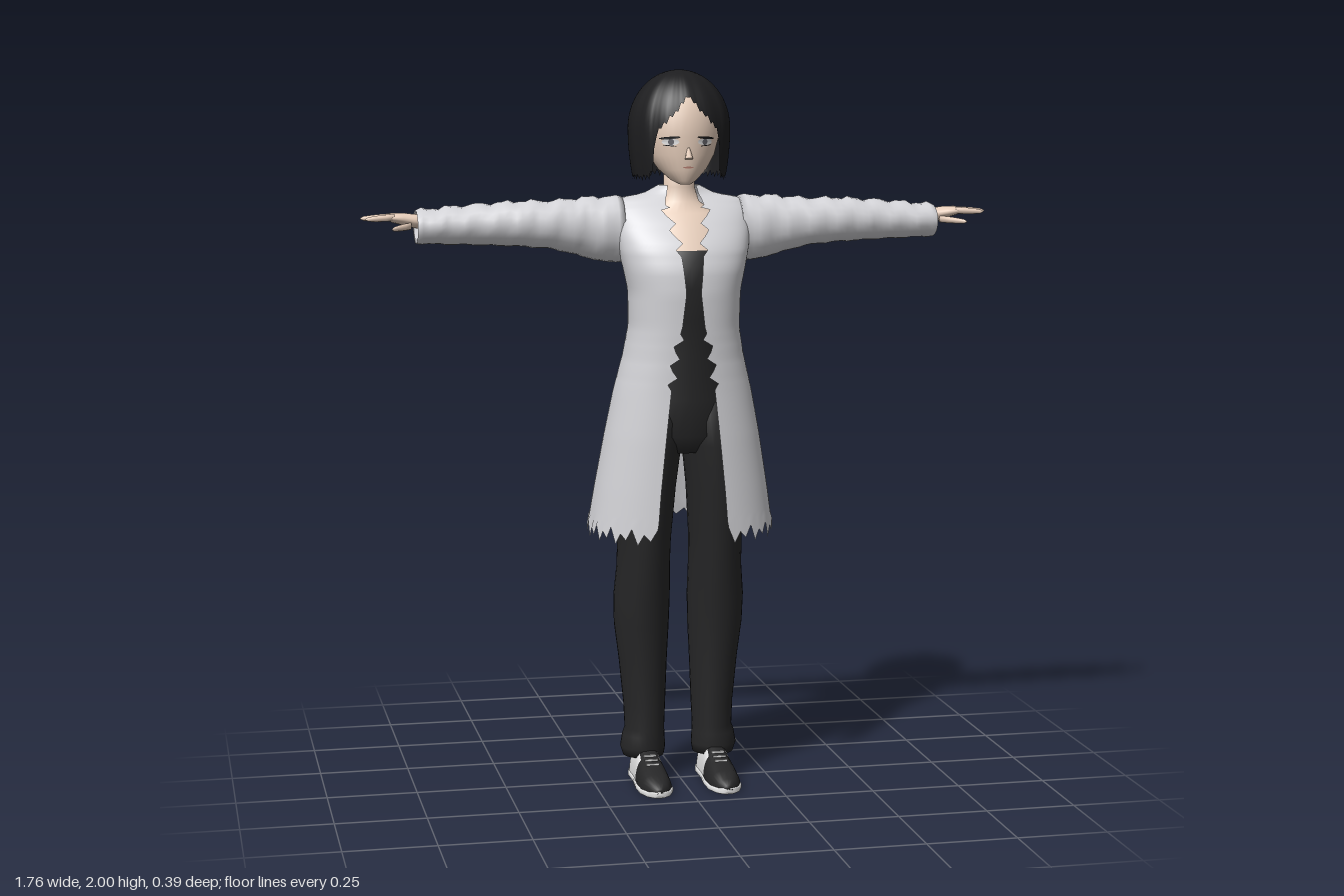
import * as THREE from 'three';
import { mergeVertices } from 'three/addons/utils/BufferGeometryUtils.js';

const colour = (name, color, open) => {
  const m = new THREE.MeshStandardMaterial({ color, side: open ? THREE.DoubleSide : THREE.FrontSide });
  m.name = name;
  return m;
};
const pw = (v, e) => Math.sign(v) * Math.abs(v) ** e;
const TAU = Math.PI * 2;

// Linear lookup in a table whose first column is the key
function sample(table, key) {
  let i = 0;
  while (i < table.length - 2 && table[i + 1][0] < key) i++;
  const a = table[i], b = table[i + 1];
  const t = THREE.MathUtils.clamp((key - a[0]) / (b[0] - a[0]), 0, 1);
  return a.map((v, k) => v + (b[k] - v) * t);
}

// Skin a grid of rings; paint(i, j) picks a material slot for each quad
function loft(rings, { caps = false, paint } = {}) {
  if (caps) {
    const centre = (r) => {
      const c = [0, 1, 2].map((k) => r.slice(1).reduce((s, p) => s + p[k], 0) / (r.length - 1));
      return r.map(() => c);
    };
    rings = [centre(rings[0]), ...rings, centre(rings[rings.length - 1])];
  }
  const w = rings[0].length, slots = [[], []];
  for (let i = 0; i < rings.length - 1; i++) {
    for (let j = 0; j < w - 1; j++) {
      const a = i * w + j, d = a + w;
      slots[paint ? paint(i, j) : 0].push(a, a + 1, d + 1, a, d + 1, d);
    }
  }
  let g = new THREE.BufferGeometry();
  g.setAttribute('position', new THREE.Float32BufferAttribute(rings.flat(2), 3));
  g.setIndex([...slots[0], ...slots[1]]);
  if (paint) {
    g.addGroup(0, slots[0].length, 0);
    g.addGroup(slots[0].length, slots[1].length, 1);
  }
  g = mergeVertices(g, 1e-5);
  g.computeVertexNormals();
  return g;
}

const around = (n, f, from = 0, to = TAU) =>
  Array.from({ length: n + 1 }, (_, j) => f(from + ((to - from) * j) / n, j));
// Upright ring: [y, half width, front z, back z], centre x
const ringY = ([y, rx, zf, zb], cx = 0, n = 28, e = 1) => around(n, (p) =>
  [cx + rx * pw(Math.sin(p), e), y, (zf + zb) / 2 + ((zf - zb) / 2) * pw(Math.cos(p), e)]);
// Ring facing along x: [x, centre y, centre z, ry, rz]
const ringX = ([x, cy, cz, ry, rz], n = 20) => around(n, (p) =>
  [x, cy + ry * Math.cos(p), cz + rz * Math.sin(p)]);

function mirrored(geo) {
  const g = geo.clone().scale(-1, 1, 1), ix = g.index.array;
  for (let k = 0; k < ix.length; k += 3) [ix[k], ix[k + 1]] = [ix[k + 1], ix[k]];
  return g;
}

export function createModel() {
  const model = new THREE.Group();
  model.name = 'figure';
  const skin = colour('skin', 0xe9d0bd), hair = colour('hair', 0x1d1d1f, true);
  const coat = colour('coat cloth', 0xd3d3d7, true), cloth = colour('black cloth', 0x262627);
  const white = colour('white', 0xe6e6e6), lip = colour('lip', 0xb98274), grey = colour('iris', 0x6a6a70);

  const add = (name, geo, mat) => {
    const m = new THREE.Mesh(geo, mat);
    m.name = name;
    model.add(m);
  };
  const pair = (name, geo, mat) => {
    add(name + 'Left', geo, mat);
    add(name + 'Right', mirrored(geo), mat);
  };

  // Torso: black top below, bare chest and neck above
  const body = [[0.95, 0.08, 0.1, -0.06], [1.0, 0.15, 0.135, -0.095], [1.1, 0.14, 0.14, -0.09],
    [1.22, 0.12, 0.14, -0.07], [1.32, 0.122, 0.15, -0.06], [1.41, 0.132, 0.165, -0.055],
    [1.47, 0.138, 0.158, -0.055], [1.51, 0.14, 0.138, -0.055], [1.512, 0.139, 0.132, -0.055],
    [1.57, 0.13, 0.1, -0.055], [1.61, 0.1, 0.065, -0.055], [1.64, 0.055, 0.036, -0.05],
    [1.68, 0.043, 0.03, -0.05], [1.74, 0.042, 0.03, -0.05]];
  add('torso', loft(body.map((r) => ringY(r)), { caps: true, paint: (i) => (i > 8 ? 1 : 0) }), [cloth, skin]);

  // Trousers: [y, half width, front z, back z, centre x]
  const leg = [[0.07, 0.058, 0.035, -0.085, 0.101], [0.095, 0.064, 0.042, -0.09, 0.103],
    [0.13, 0.06, 0.04, -0.088, 0.101], [0.15, 0.056, 0.042, -0.09, 0.098], [0.22, 0.059, 0.043, -0.095, 0.098],
    [0.35, 0.068, 0.052, -0.105, 0.102], [0.45, 0.077, 0.064, -0.115, 0.106], [0.53, 0.079, 0.076, -0.117, 0.106],
    [0.62, 0.074, 0.09, -0.113, 0.103], [0.7, 0.074, 0.103, -0.108, 0.102], [0.85, 0.079, 0.125, -0.1, 0.096],
    [0.97, 0.083, 0.138, -0.095, 0.086], [1.04, 0.076, 0.138, -0.09, 0.075], [1.1, 0.05, 0.12, -0.07, 0.07]];
  pair('trouserLeg', loft(leg.map((r) => ringY(r, r[4])), { caps: true }), cloth);

  // Shoes: [z, half width, top]
  const shoe = [[-0.078, 0.02, 0.055], [-0.07, 0.034, 0.08], [-0.04, 0.041, 0.095], [0, 0.04, 0.105],
    [0.03, 0.04, 0.1], [0.06, 0.043, 0.083], [0.1, 0.046, 0.068], [0.15, 0.044, 0.055],
    [0.185, 0.03, 0.04], [0.198, 0.012, 0.026]];
  const upper = shoe.map(([z, rx, top]) => around(24, (p) =>
    [0.098 + rx * pw(Math.cos(p), 0.7), 0.012 + (top - 0.012) * Math.max(0, Math.sin(p)), z]));
  const sidePatch = (i, j) => (i >= 3 && i <= 5 && (j < 4 || (j >= 8 && j < 12)) ? 1 : 0);
  pair('shoe', loft(upper, { caps: true, paint: sidePatch }), [cloth, white]);
  const sole = shoe.map(([z, rx]) => around(24, (p) =>
    [0.098 + (rx + 0.004) * pw(Math.cos(p), 0.4), 0.009 + 0.009 * pw(Math.sin(p), 0.4), z]));
  pair('sole', loft(sole, { caps: true }), white);
  for (const [z, y] of [[0.06, 0.084], [0.08, 0.077], [0.1, 0.07]]) {
    pair('lace', new THREE.BoxGeometry(0.036, 0.005, 0.005).translate(0.098, y, z), white);
  }

  // Open coat: [y, half width, front z, back z, half opening]
  const cut = [[0.72, 0.262, 0.19, -0.195, 0.1], [0.85, 0.242, 0.188, -0.168, 0.09], [1.0, 0.216, 0.186, -0.138, 0.075],
    [1.12, 0.192, 0.183, -0.118, 0.062], [1.22, 0.167, 0.183, -0.1, 0.05], [1.3, 0.153, 0.185, -0.085, 0.032],
    [1.4, 0.155, 0.188, -0.074, 0.02], [1.46, 0.168, 0.183, -0.07, 0.026], [1.52, 0.182, 0.162, -0.07, 0.032],
    [1.58, 0.19, 0.118, -0.07, 0.045], [1.62, 0.19, 0.082, -0.07, 0.056], [1.65, 0.172, 0.05, -0.066, 0.05],
    [1.662, 0.1, 0.042, -0.064, 0.044], [1.685, 0.056, 0.036, -0.062, 0.04]];
  const teeth = [0.1, 1, 0.4, 0.75], coatRings = [];
  const e = 0.85, cols = 72;
  for (let i = 0; i <= 60; i++) {
    const y = i === 0 ? 0.73 : i < 50 ? 0.77 + (0.85 * (i - 1)) / 49 : 1.62 + (0.065 * (i - 50)) / 10;
    const [, rx, zf, zb, w0] = sample(cut, y);
    const ragged = (y > 1.14 && y < 1.3) || (y > 1.51 && y < 1.63);
    const w = w0 + (ragged ? [-0.012, 0.002, 0.012][i % 3] : 0);
    const p0 = Math.asin((w / rx) ** (1 / e));
    coatRings.push(around(cols, (p, j) => [
      rx * pw(Math.sin(p), e),
      i === 0 ? 0.757 - 0.05 * teeth[j % 4] + 0.008 * (1 - Math.cos(p)) / 2 : y,
      (zf + zb) / 2 + ((zf - zb) / 2) * pw(Math.cos(p), e)], p0, TAU - p0));
  }
  add('coat', loft(coatRings), coat);

  // Sleeves with soft folds, turned in at the wrist
  const arm = [[0.165, 1.565, 0.004, 0.09, 0.07], [0.22, 1.566, 0.003, 0.09, 0.069], [0.28, 1.573, 0.003, 0.08, 0.064],
    [0.36, 1.58, 0.008, 0.066, 0.062], [0.45, 1.584, 0.004, 0.062, 0.064], [0.58, 1.582, -0.008, 0.055, 0.064],
    [0.73, 1.578, -0.011, 0.046, 0.063]];
  const sleeve = Array.from({ length: 37 }, (_, i) => {
    const r = sample(arm, 0.165 + (0.565 * i) / 36), fold = 0.0025 * Math.sin(i * 1.3) + 0.0015 * Math.sin(i * 2.9);
    return ringX([r[0], r[1] + fold / 2, r[2], r[3] + fold, r[4] - fold]);
  });
  sleeve.push(ringX([0.728, 1.58, -0.011, 0.038, 0.055]), ringX([0.7, 1.585, -0.011, 0.02, 0.03]));
  pair('sleeve', loft(sleeve, { caps: true }), coat);

  // Hands
  const palm = [[0.69, 1.59, -0.01, 0.02, 0.026], [0.735, 1.594, -0.01, 0.019, 0.028],
    [0.765, 1.6, -0.007, 0.017, 0.037], [0.795, 1.604, -0.008, 0.013, 0.039], [0.808, 1.605, -0.009, 0.008, 0.034]];
  pair('palm', loft(palm.map((r) => ringX(r)), { caps: true }), skin);
  const fingers = [[0.79, 0.02, 0.868, 0.03, 1.606], [0.795, 0.002, 0.88, 0.002, 1.607],
    [0.795, -0.016, 0.87, -0.026, 1.605], [0.785, -0.033, 0.842, -0.054, 1.602], [0.745, 0.018, 0.803, 0.085, 1.582]];
  fingers.forEach(([x0, z0, x1, z1, y], k) => {
    const rings = [0, 0.3, 0.6, 0.9, 1].map((t, q) => {
      const r = [0.0092, 0.0092, 0.0082, 0.006, 0.002][q];
      return ringX([x0 + (x1 - x0) * t, y - 0.004 * t, z0 + (z1 - z0) * t, r, r * (k === 4 ? 1.5 : 1)], 10);
    });
    pair(k === 4 ? 'thumb' : 'finger', loft(rings, { caps: true }), skin);
  });

  // Head, dark behind the hairline
  const head = [[1.69, 0.015, 0.092, 0.05], [1.7, 0.034, 0.102, 0.0], [1.73, 0.066, 0.112, -0.05],
    [1.77, 0.092, 0.116, -0.09], [1.82, 0.107, 0.12, -0.11], [1.88, 0.109, 0.117, -0.12],
    [1.93, 0.088, 0.092, -0.1], [1.96, 0.05, 0.05, -0.06]];
  add('head', loft(head.map((r) => ringY(r, 0, 32)), { caps: true, paint: (i, j) => (j > 8 && j < 23 ? 1 : 0) }), [skin, hair]);
  const nose = new THREE.ConeGeometry(0.011, 0.045, 10).scale(1, 1, 1.3).rotateX(-0.25).translate(0, 1.782, 0.116);
  add('nose', nose, skin);

  // Thin face details laid on the curve of the head
  const decal = (cx, cy, w, h, lift, tilt = 0) => {
    const g = new THREE.CircleGeometry(1, 20).scale(w / 2, h / 2, 1).rotateZ(tilt).translate(cx, cy, 0);
    const p = g.attributes.position;
    for (let i = 0; i < p.count; i++) {
      const [, rx, zf, zb] = sample(head, p.getY(i));
      p.setZ(i, (zf + zb) / 2 + ((zf - zb) / 2) * Math.sqrt(1 - (p.getX(i) / rx) ** 2) + lift);
    }
    g.computeVertexNormals();
    return g;
  };
  pair('eyeWhite', decal(0.048, 1.806, 0.044, 0.018, 0.002), white);
  pair('iris', decal(0.047, 1.806, 0.015, 0.017, 0.003), grey);
  pair('upperLash', decal(0.05, 1.817, 0.054, 0.007, 0.004, -0.08), hair);
  pair('lowerLash', decal(0.05, 1.796, 0.034, 0.0025, 0.004, 0.08), hair);
  add('mouth', decal(0, 1.737, 0.03, 0.005, 0.002), lip);

  // Bob hair: a shell parted over the face with a ragged lower edge
  const hairline = [[0, 1.925], [0.3, 1.875], [0.55, 1.842], [0.68, 1.815], [0.8, 1.71], [1.0, 1.698], [Math.PI, 1.705]];
  const lock = [0, 0.014, 0.004, 0.018];
  const hairRings = [];
  for (let i = 0; i <= 24; i++) {
    hairRings.push(around(112, (p, j) => {
      const side = Math.min(p, TAU - p), k = Math.min(j, 112 - j);
      const low = sample(hairline, side)[1] + (k ? lock[k % 4] * (side < 0.7 ? 0.8 : 1) : 0);
      const y = low + (2 - low) * Math.sin((i / 24) * Math.PI / 2);
      const r = y > 1.84 ? Math.sqrt(Math.max(0, 1 - ((y - 1.84) / 0.16) ** 2)) : 1 - 0.1 * ((1.84 - y) / 0.14) ** 2;
      const wave = r * (1 + 0.008 * Math.cos(side * 14));
      return [0.14 * wave * Math.sin(p), y, -0.011 + 0.144 * wave * Math.cos(p)];
    }));
  }
  add('hair', loft(hairRings), hair);
  return model;
}
